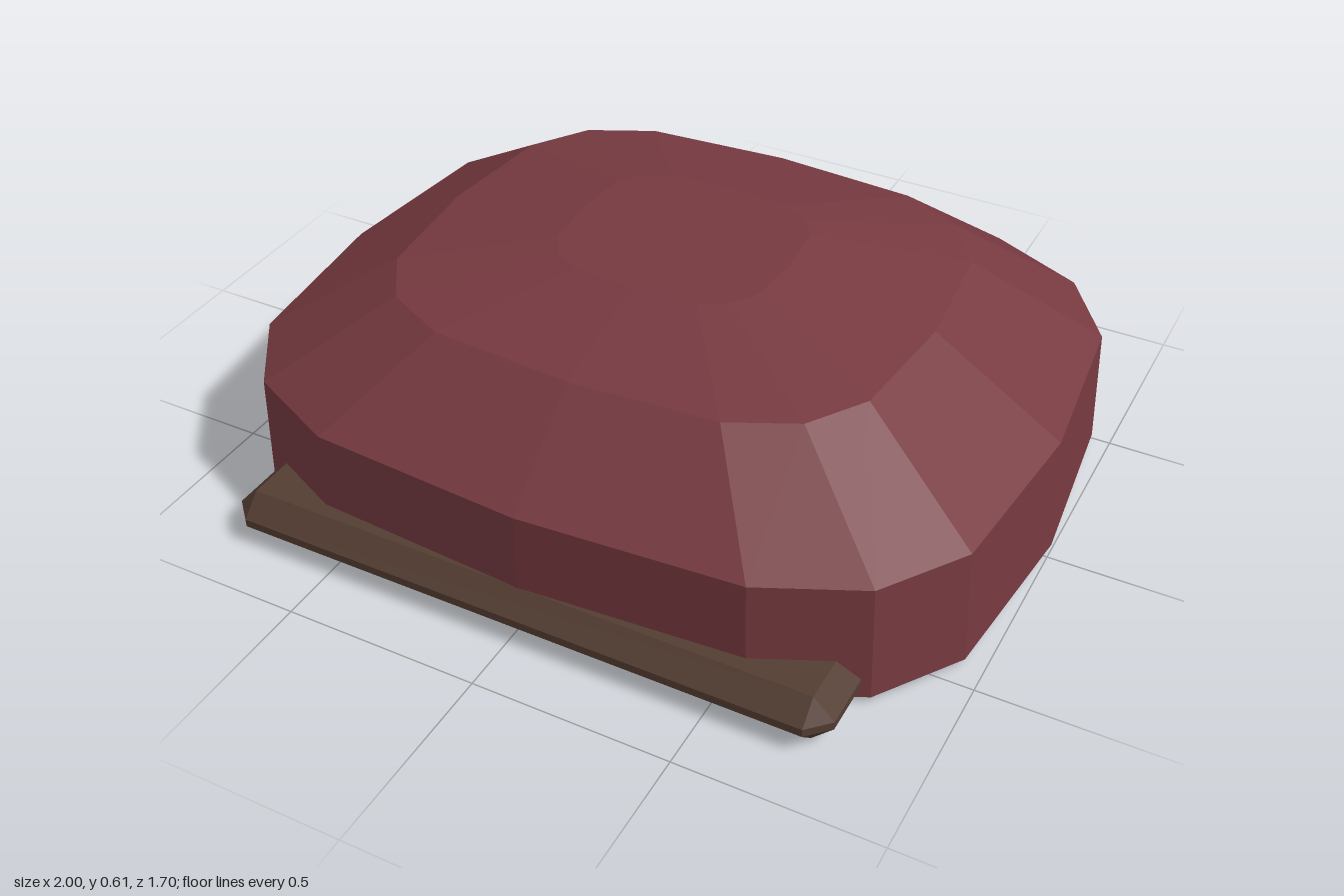
import * as THREE from 'three';
import { ConvexGeometry } from 'three/addons/geometries/ConvexGeometry.js';

const SIDES = 16;

// Faceted solid from rounded-square rings [y, halfX, halfZ, centreZ], closed at both ends
function ringSolid(rings) {
  const pos = [];
  const index = [];
  const soft = (v) => (Math.abs(v) < 1e-6 ? 0 : Math.sign(v) * Math.abs(v) ** 0.6);
  for (const [y, hx, hz, cz] of rings) {
    for (let i = 0; i < SIDES; i++) {
      const a = (i / SIDES) * Math.PI * 2;
      pos.push(hx * soft(Math.cos(a)), y, cz + hz * soft(Math.sin(a)));
    }
  }
  const last = rings.length - 1;
  for (let r = 0; r < last; r++) {
    for (let i = 0; i < SIDES; i++) {
      const j = (i + 1) % SIDES;
      const a = r * SIDES + i, b = r * SIDES + j;
      index.push(a, a + SIDES, b, b, a + SIDES, b + SIDES);
    }
  }
  // Bottom and top faces
  const top = last * SIDES;
  for (let i = 1; i < SIDES - 1; i++) {
    index.push(0, i, i + 1);
    index.push(top, top + i + 1, top + i);
  }
  const geo = new THREE.BufferGeometry();
  geo.setAttribute('position', new THREE.Float32BufferAttribute(pos, 3));
  geo.setIndex(index);
  const flat = geo.toNonIndexed();
  flat.computeVertexNormals();
  return flat;
}

// Box with all edges and corners cut off
function chamferedBox(w, h, d, c) {
  const pts = [];
  for (const sx of [-1, 1]) for (const sy of [-1, 1]) for (const sz of [-1, 1]) {
    const x = w / 2, y = h / 2, z = d / 2;
    pts.push(
      new THREE.Vector3(sx * x, sy * (y - c), sz * (z - c)),
      new THREE.Vector3(sx * (x - c), sy * y, sz * (z - c)),
      new THREE.Vector3(sx * (x - c), sy * (y - c), sz * z)
    );
  }
  return new ConvexGeometry(pts);
}

export function createModel() {
  const cloth = new THREE.MeshStandardMaterial({ color: 0x763a40 });
  cloth.name = 'maroon cloth';
  const leather = new THREE.MeshStandardMaterial({ color: 0x543d32 });
  leather.name = 'brown leather';

  const model = new THREE.Group();
  model.name = 'cap';

  // Crown: upright band, sloping shoulder, shallow dome, flat top
  const crown = new THREE.Mesh(ringSolid([
    [0.02, 1.0, 0.825, -0.025],
    [0.33, 0.988, 0.82, -0.022],
    [0.54, 0.66, 0.568, -0.022],
    [0.61, 0.285, 0.257, -0.022]
  ]), cloth);
  crown.name = 'crown';
  model.add(crown);

  // Brim along the front lower edge
  const brim = new THREE.Mesh(chamferedBox(1.58, 0.125, 0.45, 0.052), leather);
  brim.name = 'brim';
  brim.position.set(0, 0.0625, 0.625);
  model.add(brim);

  return model;
}
